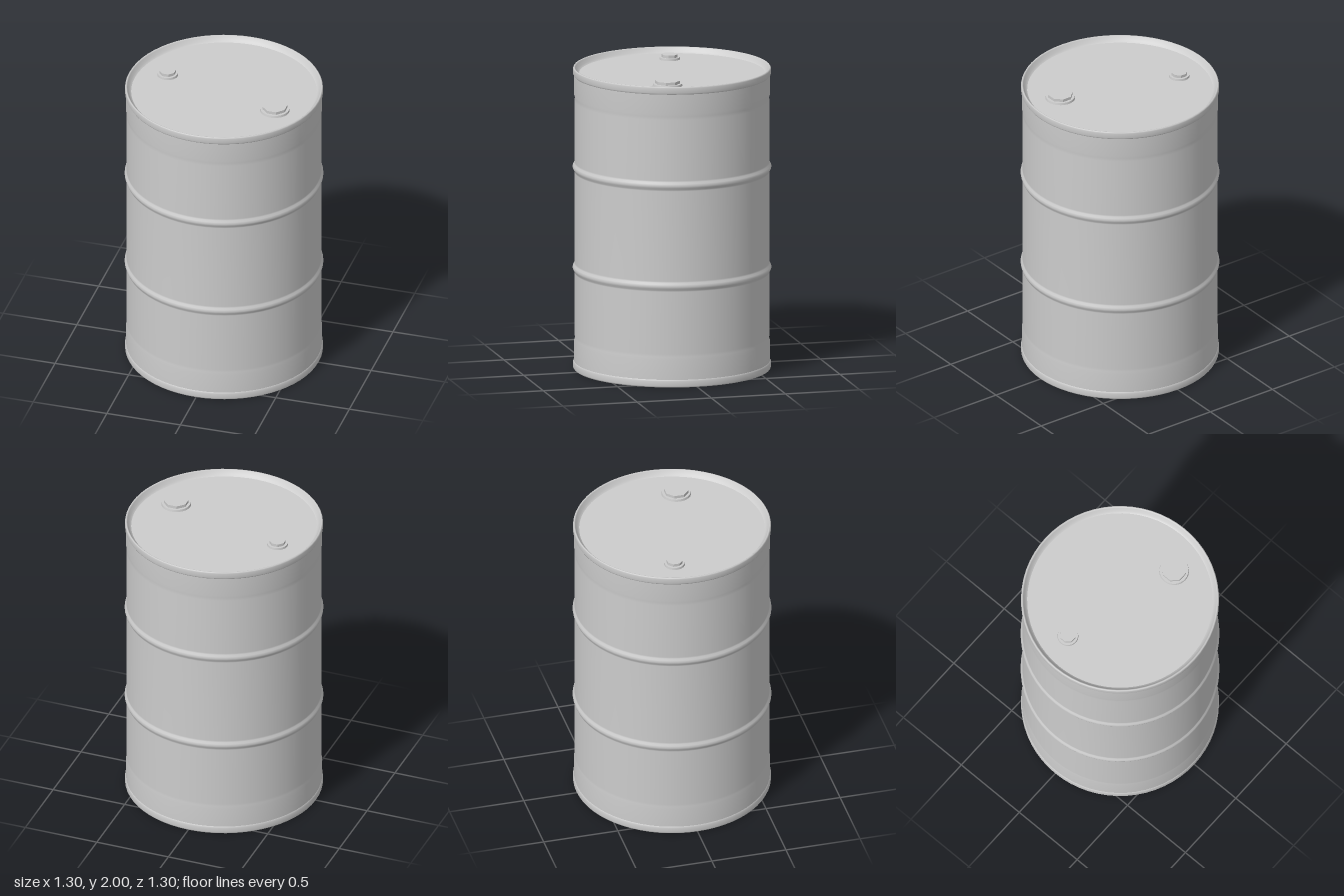
import * as THREE from 'three';

const SEGMENTS = 64;

// Lathe with a smooth turn, each run of points smooth and a crease between runs
function lathed(name, runs, material) {
  const part = new THREE.Group();
  part.name = name;
  runs.forEach((run, i) => {
    const points = run.map(([r, y]) => new THREE.Vector2(r, y));
    const mesh = new THREE.Mesh(new THREE.LatheGeometry(points, SEGMENTS), material);
    mesh.name = name + 'Surface' + (i + 1);
    part.add(mesh);
  });
  return part;
}

// Rounded rolling hoop swelling out of the wall at height y
function hoop(y) {
  return [[0.635, y - 0.035], [0.637, y - 0.025], [0.644, y - 0.014], [0.648, y],
    [0.644, y + 0.014], [0.637, y + 0.025], [0.635, y + 0.035]];
}

// Bung: round flange with an octagonal plug on top
function bung(name, x, z, flangeRadius, plugRadius, lidY, steel) {
  const group = new THREE.Group();
  group.name = name;
  const flange = new THREE.Mesh(
    new THREE.CylinderGeometry(flangeRadius * 0.97, flangeRadius, 0.014, 32), steel);
  flange.name = 'bungFlange';
  flange.position.y = 0.007;
  const plugGeometry = new THREE.CylinderGeometry(plugRadius, plugRadius, 0.02, 8).toNonIndexed();
  plugGeometry.computeVertexNormals();
  const plug = new THREE.Mesh(plugGeometry, steel);
  plug.name = 'bungPlug';
  plug.rotation.y = Math.PI / 8;
  plug.position.y = 0.023;
  group.add(flange, plug);
  group.position.set(x, lidY, z);
  return group;
}

export function createModel() {
  const steel = new THREE.MeshStandardMaterial({ color: 0xcccccc });
  steel.name = 'grey steel';
  const drum = new THREE.Group();
  drum.name = 'drum';
  const lidY = 1.963;

  // Wall with a shallow bead near each end and two rolling hoops
  drum.add(lathed('wall', [[
    [0.639, 0.045], [0.638, 0.18], [0.632, 0.2], [0.635, 0.22],
    ...hoop(0.67), ...hoop(1.34),
    [0.635, 1.78], [0.632, 1.8], [0.638, 1.82], [0.639, 1.955],
  ]], steel));

  // Rolled rims at both ends
  drum.add(lathed('topRim', [
    [[0.639, 1.95], [0.645, 1.96], [0.645, 1.992], [0.641, 2], [0.635, 2], [0.63, 1.995],
      [0.618, 1.972], [0.605, lidY]],
  ], steel));
  drum.add(lathed('bottomRim', [
    [[0.605, 0.037], [0.618, 0.028], [0.63, 0.005], [0.635, 0], [0.641, 0], [0.645, 0.008],
      [0.645, 0.04], [0.639, 0.05]],
  ], steel));

  // Recessed flat ends
  for (const [name, y, turn] of [['lid', lidY, -1], ['base', 0.037, 1]]) {
    const disc = new THREE.Mesh(new THREE.CircleGeometry(0.606, SEGMENTS), steel);
    disc.name = name;
    disc.rotation.x = turn * Math.PI / 2;
    disc.position.y = y;
    drum.add(disc);
  }

  // Large and small bungs on the lid
  drum.add(bung('largeBung', 0.385, 0.132, 0.097, 0.081, lidY, steel));
  drum.add(bung('smallBung', -0.41, -0.093, 0.068, 0.053, lidY, steel));
  return drum;
}
